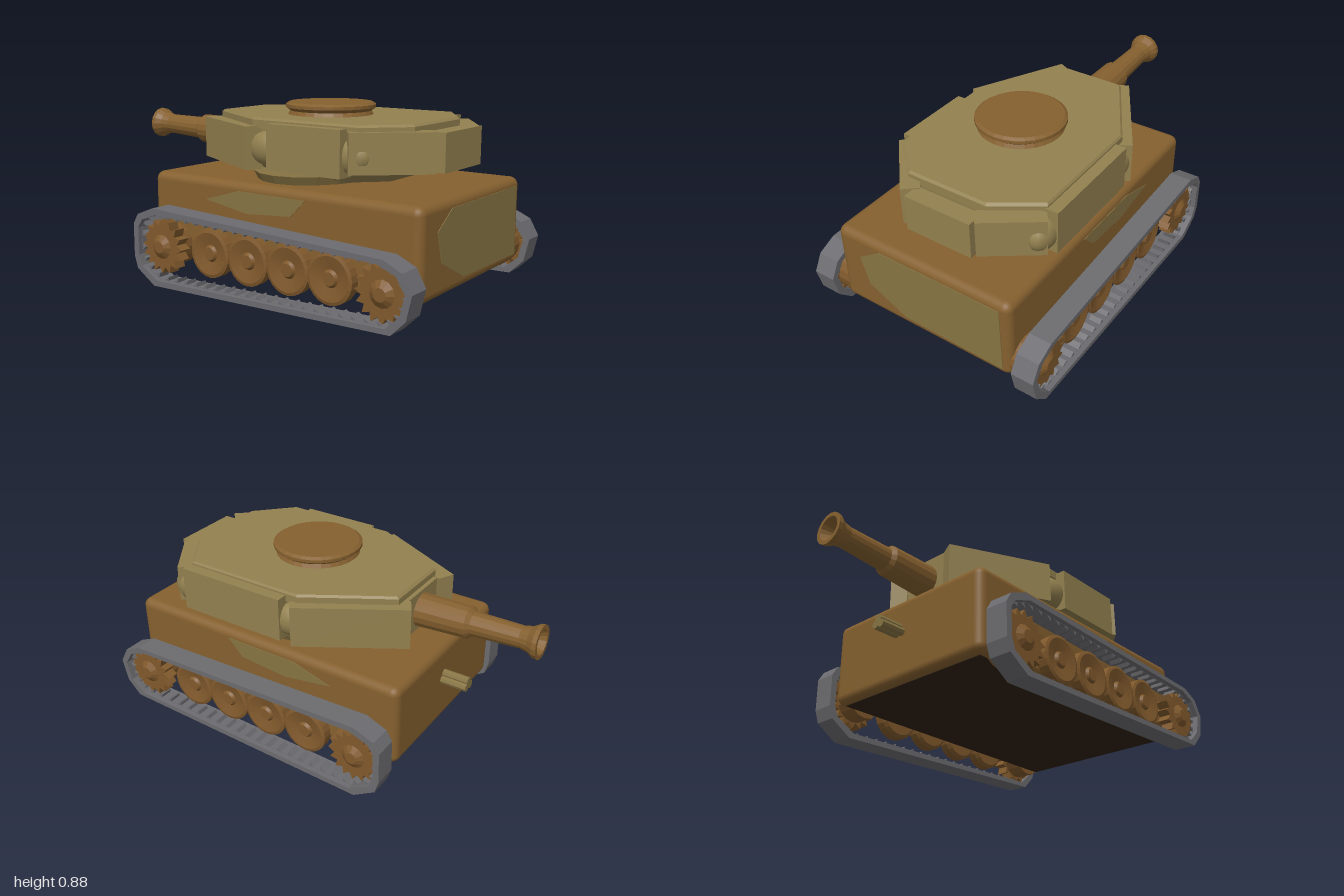
import * as THREE from 'three';
import { RoundedBoxGeometry } from 'three/addons/geometries/RoundedBoxGeometry.js';

const V2 = (x, y) => new THREE.Vector2(x, y);
const paint = (color, flatShading = true) =>
  new THREE.MeshStandardMaterial({ color, flatShading, side: THREE.DoubleSide });
const brown = paint(0x85602f), smoothBrown = paint(0x85602f, false);
const wheelBrown = paint(0x80592c), olive = paint(0x877443), sand = paint(0x92804f);
const steel = paint(0x6c6c70), dark = paint(0x2e2114);

function add(parent, name, geometry, material, x = 0, y = 0, z = 0) {
  const mesh = new THREE.Mesh(geometry, material);
  mesh.name = name;
  mesh.position.set(x, y, z);
  parent.add(mesh);
  return mesh;
}

// Flat outline given as points, pulled out along z and centred on z = 0
function slab(points, depth, hole) {
  const shape = new THREE.Shape(points);
  if (hole) shape.holes.push(new THREE.Path(hole));
  return new THREE.ExtrudeGeometry(shape, { depth, bevelEnabled: false }).translate(0, 0, -depth / 2);
}

// Stack of scaled copies of one plan outline; each layer is [y, scale]
function loft(plan, [cx, cz], layers) {
  const n = plan.length, pos = [], idx = [];
  for (const [y, s] of layers)
    for (const [x, z] of plan) pos.push(cx + (x - cx) * s, y, cz + (z - cz) * s);
  for (let l = 0; l < layers.length - 1; l++)
    for (let i = 0; i < n; i++) {
      const a = l * n + i, b = l * n + (i + 1) % n;
      idx.push(a, b, b + n, a, b + n, a + n);
    }
  const top = (layers.length - 1) * n;
  for (let i = 1; i < n - 1; i++) idx.push(0, i + 1, i, top, top + i, top + i + 1);
  const g = new THREE.BufferGeometry();
  g.setAttribute('position', new THREE.Float32BufferAttribute(pos, 3));
  g.setIndex(idx);
  g.computeVertexNormals();
  return g;
}

function buildHull() {
  const hull = new THREE.Group();
  hull.name = 'hull';
  add(hull, 'hullBody', new RoundedBoxGeometry(1.5, 0.41, 0.94, 3, 0.04), smoothBrown, 0.2, 0.335, 0);
  add(hull, 'bellyPlate', new THREE.BoxGeometry(1.42, 0.01, 0.86), dark, 0.2, 0.132, 0);
  // Camouflage patches
  const rear = [V2(-0.34, 0.42), V2(-0.22, 0.5), V2(0.42, 0.5), V2(0.43, 0.17), V2(-0.1, 0.18), V2(-0.3, 0.28)];
  add(hull, 'rearPatch', slab(rear, 0.006), olive, 0.95).rotation.y = Math.PI / 2;
  const side = [V2(-0.2, 0.44), V2(0, 0.5), V2(0.38, 0.5), V2(0.3, 0.42), V2(0.05, 0.4)];
  for (const s of [1, -1]) add(hull, 'sidePatch', slab(side, 0.006), olive, 0, 0, s * 0.47);
  // Small bow gun made of a bundle of tubes
  for (let i = 0; i < 3; i++) {
    const a = i * Math.PI * 2 / 3 + Math.PI / 2;
    add(hull, 'bowGunTube', new THREE.CylinderGeometry(0.02, 0.02, 0.16, 8), olive,
      -0.6, 0.375 + Math.sin(a) * 0.018, -0.03 + Math.cos(a) * 0.02).rotation.z = Math.PI / 2;
  }
  return hull;
}

// Running gear of one side, built facing +z
function buildTrack() {
  const track = new THREE.Group();
  track.name = 'track';
  const loop = [[-0.55, 0.14], [-0.53, 0.08], [-0.42, 0.01], [0.9, 0.05], [0.97, 0.12], [0.995, 0.23],
    [0.95, 0.31], [0.86, 0.35], [-0.42, 0.39], [-0.52, 0.35], [-0.55, 0.3]].map(p => V2(...p));
  const inset = (p, k) => V2(0.22 + (p.x - 0.22) * (1 - 0.04 * k), 0.2 + (p.y - 0.2) * (1 - 0.15 * k));
  add(track, 'trackBand', slab(loop, 0.11, loop.map(p => inset(p, 1))), steel, 0, 0, 0.558);

  // Guide teeth: zigzag along the inside of the band
  const zigzag = [];
  loop.forEach((p, i) => {
    const q = loop[(i + 1) % loop.length], n = Math.max(1, Math.round(p.distanceTo(q) / 0.065));
    for (let k = 0; k < n; k++)
      for (const [t, depth] of [[0, 1.05], [0.3, 1.05], [0.5, 1.75], [0.7, 1.05]])
        zigzag.push(inset(p.clone().lerp(q, (k + t) / n), depth));
  });
  add(track, 'guideTeeth', slab(loop.map(p => inset(p, 0.9)), 0.06, zigzag), steel, 0, 0, 0.558);

  // Dished road wheels
  const dish = [V2(0, -0.03), V2(0.1, -0.03), V2(0.115, -0.015), V2(0.115, 0.03), V2(0.1, 0.035),
    V2(0.04, 0.022), V2(0.03, 0.035), V2(0, 0.035)];
  for (const x of [-0.11, 0.117, 0.343, 0.565]) {
    add(track, 'roadWheel', new THREE.LatheGeometry(dish, 24), wheelBrown, x, 0.205, 0.52).rotation.x = Math.PI / 2;
    add(track, 'axle', new THREE.CylinderGeometry(0.03, 0.03, 0.08, 10), wheelBrown, x, 0.205, 0.47).rotation.x = Math.PI / 2;
  }

  // Toothed sprockets with wide hubs reaching the hull
  const cog = [];
  for (let i = 0; i < 32; i++) {
    const a = i * Math.PI / 16, r = i % 2 ? 0.1 : 0.132;
    cog.push(V2(Math.cos(a) * r, Math.sin(a) * r));
  }
  for (const x of [-0.395, 0.84]) {
    add(track, 'sprocket', slab(cog, 0.06), wheelBrown, x, 0.2, 0.55);
    add(track, 'sprocketHub', new THREE.CylinderGeometry(0.1, 0.1, 0.1, 16), wheelBrown, x, 0.2, 0.48).rotation.x = Math.PI / 2;
    add(track, 'sprocketCap', new THREE.CylinderGeometry(0.03, 0.06, 0.02, 12), wheelBrown, x, 0.2, 0.59).rotation.x = Math.PI / 2;
  }
  return track;
}

function buildTurret() {
  const turret = new THREE.Group();
  turret.name = 'turret';
  const plan = [[-0.39, -0.2], [-0.39, 0.14], [0, 0.365], [0.58, 0.365], [0.75, 0.19],
    [0.75, -0.22], [0.61, -0.43], [0, -0.43]], centre = [0.2, -0.03];
  add(turret, 'roofPlate', loft(plan, centre, [[0.78, 1], [0.818, 1], [0.828, 0.98]]), sand);
  add(turret, 'turretBody', loft(plan, centre, [[0.53, 0.4], [0.56, 0.72], [0.61, 0.93], [0.79, 0.96]]), sand);
  const ring = add(turret, 'turretRing', new THREE.CylinderGeometry(0.3, 0.28, 0.05, 20), olive, 0.16, 0.555, 0);
  ring.scale.z = 1.4;

  // Armour boxes around the turret: outer edge from a to b, then bottom and top
  const armour = [
    ['frontArmour', [-0.41, -0.16], [-0.41, 0.12], 0.6, 0.79],
    ['cheekArmour', [-0.46, 0.19], [0.0, 0.42], 0.59, 0.79],
    ['sideArmour', [0.12, 0.415], [0.52, 0.415], 0.6, 0.81],
    ['rearCornerArmour', [0.56, 0.41], [0.84, 0.16], 0.62, 0.8],
    ['rearArmour', [0.86, 0.12], [0.86, -0.22], 0.62, 0.795],
    ['rearCornerArmour', [0.84, -0.23], [0.67, -0.47], 0.62, 0.795],
    ['sideArmour', [0.62, -0.485], [0.06, -0.485], 0.6, 0.81],
    ['cheekArmour', [0.0, -0.485], [-0.46, -0.21], 0.59, 0.79]];
  for (const [name, a, b, y0, y1] of armour) {
    const dx = b[0] - a[0], dz = b[1] - a[1], len = Math.hypot(dx, dz), t = 0.085;
    add(turret, name, new THREE.BoxGeometry(len, y1 - y0, t), sand,
      (a[0] + b[0]) / 2 + dz / len * t / 2, (y0 + y1) / 2, (a[1] + b[1]) / 2 - dx / len * t / 2)
      .rotation.y = -Math.atan2(dz, dx);
  }
  // Rounded lumps showing between the side boxes
  for (const [x, z] of [[0.08, 0.35], [0.53, 0.34], [0.04, -0.42], [0.62, -0.42]])
    add(turret, 'sideBulge', new THREE.SphereGeometry(1, 16, 12), paint(0x92804f, false), x, 0.69, z).scale.set(0.1, 0.08, 0.06);

  // Commander's hatch with a flared rim
  const hatch = [V2(0.205, 0), V2(0.195, 0.02), V2(0.215, 0.035), V2(0.215, 0.05), V2(0.2, 0.06), V2(0, 0.06)];
  add(turret, 'hatch', new THREE.LatheGeometry(hatch, 28), brown, 0.18, 0.826, 0);

  // Stepped gun barrel with a hollow flared muzzle
  const barrel = [V2(0.082, 0), V2(0.075, 0.27), V2(0.058, 0.29), V2(0.052, 0.52), V2(0.06, 0.56),
    V2(0.078, 0.59), V2(0.08, 0.61), V2(0.06, 0.61), V2(0.035, 0.56), V2(0, 0.54)];
  const gun = add(turret, 'gunBarrel', new THREE.LatheGeometry(barrel, 16), brown, -0.387, 0.688, -0.02);
  gun.rotation.z = Math.PI / 2 - 0.035;
  return turret;
}

export function createModel() {
  const tank = new THREE.Group();
  tank.name = 'tank';
  const left = buildTrack(), right = buildTrack();
  left.name = 'nearTrack';
  right.name = 'farTrack';
  right.scale.z = -1;
  tank.add(buildHull(), left, right, buildTurret());
  return tank;
}
